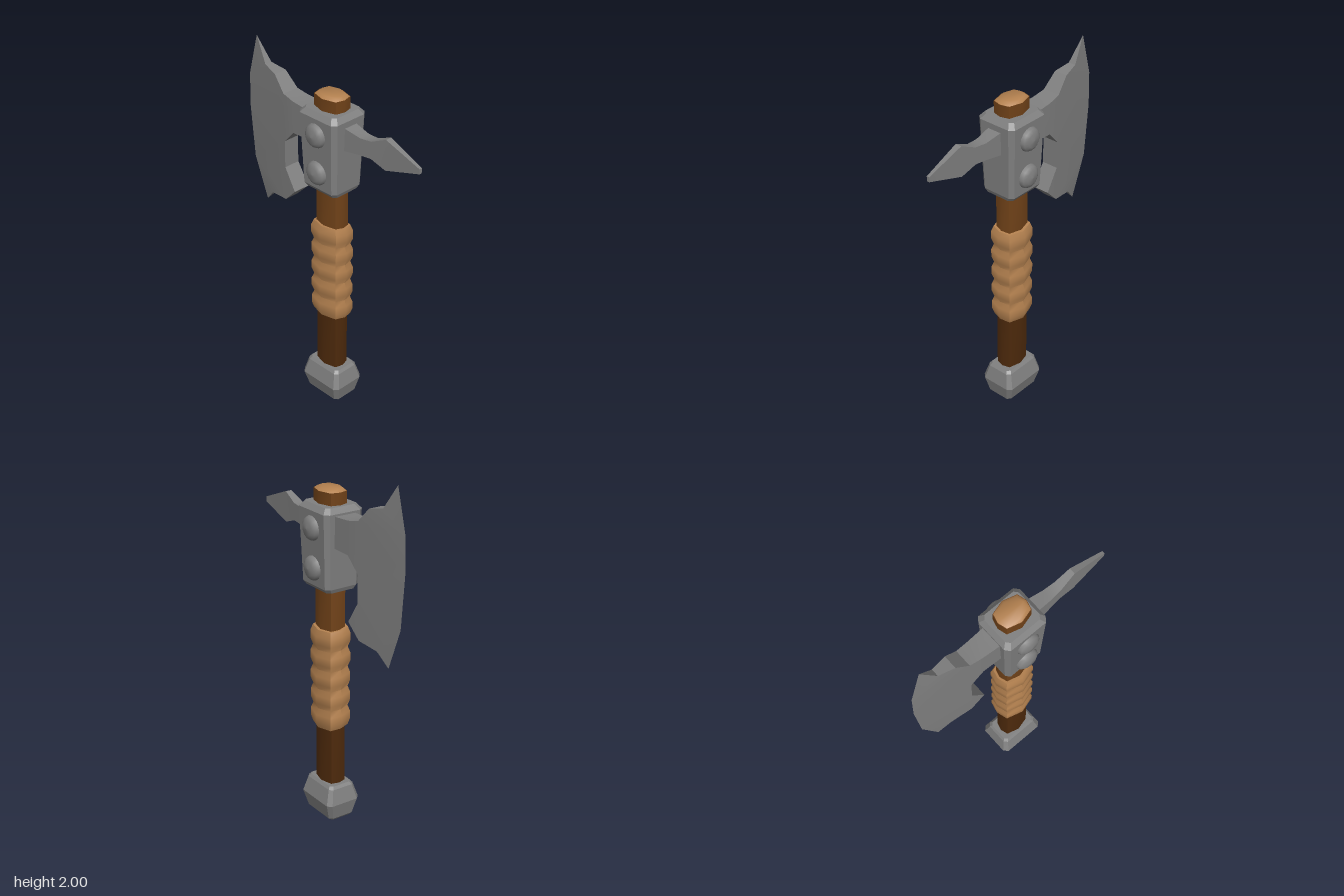
import * as THREE from 'three';
import { toCreasedNormals } from 'three/addons/utils/BufferGeometryUtils.js';

const CX = 0.01; // axis of the handle

const mat = (name, color) => {
  const m = new THREE.MeshStandardMaterial({ color });
  m.name = name;
  return m;
};

// Unit cross-sections, running from +x towards +z
const ovalRing = [[1, 0], [0.85, 0.7], [0, 1], [-0.85, 0.7], [-1, 0], [-0.85, -0.7], [0, -1], [0.85, -0.7]];
const blockRing = [[1, 0.78], [0.84, 1], [-0.84, 1], [-1, 0.78], [-1, -0.78], [-0.84, -1], [0.84, -1], [1, -0.78]];

// Closed solid through rings [y, half width, half depth], listed from bottom to top
function loft(ring, sections, crease, slope = 0) {
  const n = ring.length, pos = [], index = [];
  for (const [y, hx, hz] of sections) {
    for (const [x, z] of ring) pos.push(CX + x * hx, y + slope * z * hz, z * hz);
  }
  for (let s = 0; s < sections.length - 1; s++) {
    for (let i = 0; i < n; i++) {
      const a = s * n + i, b = s * n + (i + 1) % n;
      index.push(a, a + n, b, b, a + n, b + n);
    }
  }
  const top = (sections.length - 1) * n;
  for (let i = 1; i < n - 1; i++) {
    index.push(0, i, i + 1, top, top + i + 1, top + i);
  }
  const g = new THREE.BufferGeometry();
  g.setAttribute('position', new THREE.Float32BufferAttribute(pos, 3));
  g.setIndex(index);
  return toCreasedNormals(g, crease);
}

// Mirrored plate from a counter-clockwise outline of [x, y, half thickness]
function plate(outline, triangles) {
  const n = outline.length, pos = [], index = [];
  for (const side of [1, -1]) {
    for (const [x, y, t] of outline) pos.push(x, y, side * t);
  }
  for (const [a, b, c] of triangles) index.push(a, b, c, n + a, n + c, n + b);
  for (let i = 0; i < n; i++) {
    const j = (i + 1) % n;
    if (outline[i][2] + outline[j][2] === 0) continue; // sharp edge needs no rim
    index.push(i, n + i, j, j, n + i, n + j);
  }
  const g = new THREE.BufferGeometry();
  g.setAttribute('position', new THREE.Float32BufferAttribute(pos, 3));
  g.setIndex(index);
  return toCreasedNormals(g, 0.5);
}

export function createModel() {
  const group = new THREE.Group();
  const steel = mat('steel', 0x808080);
  const wood = mat('wood', 0x724319);
  const darkWood = mat('dark wood', 0x4e2a0c);
  const leather = mat('tan leather', 0xb58250);
  const add = (name, geometry, material) => {
    const mesh = new THREE.Mesh(geometry, material);
    mesh.name = name;
    group.add(mesh);
    return mesh;
  };

  // Handle
  add('lowerHandle', loft(ovalRing, [[0.18, 0.084, 0.063], [0.6, 0.084, 0.063]], 0.8), darkWood);
  add('upperHandle', loft(ovalRing, [[1.06, 0.084, 0.064], [1.4, 0.084, 0.064]], 0.8), wood);
  add('handleTop', loft(ovalRing, [[1.74, 0.09, 0.072], [1.855, 0.09, 0.072]], 0.8), wood);
  add('handleEnd', loft(ovalRing, [[1.853, 0.09, 0.072], [1.868, 0.07, 0.055]], 0.8), leather);

  // Grip wrapped in five bulging bands
  const bands = 5, y0 = 0.545, step = 0.114;
  const wrap = [[y0, 0.098, 0.08]];
  for (let i = 0; i < bands; i++) {
    const y = y0 + i * step;
    wrap.push([y + step * 0.3, 0.109, 0.092], [y + step * 0.7, 0.109, 0.092]);
    wrap.push([y + step, 0.096, 0.079]);
  }
  add('gripWrap', loft(ovalRing, wrap, 0.8, 0.12), leather);

  // Pommel
  add('pommel', loft(blockRing, [
    [0, 0.105, 0.068], [0.014, 0.117, 0.08], [0.105, 0.138, 0.105],
    [0.192, 0.117, 0.08], [0.207, 0.105, 0.068],
  ], 0.3), steel);

  // Head block around the handle
  add('headBlock', loft(blockRing, [
    [1.338, 0.108, 0.088], [1.36, 0.117, 0.103],
    [1.762, 0.131, 0.118], [1.79, 0.108, 0.095],
  ], 0.3), steel);

  // Blade: sharp along the outer edge, thick at the neck
  add('blade', plate([
    [-0.542, 2, 0], [-0.606, 1.765, 0], [-0.611, 1.575, 0], [-0.585, 1.28, 0], [-0.495, 1.045, 0],
    [-0.426, 1.12, 0.022], [-0.3, 1.14, 0.042], [-0.22, 1.22, 0.05], [-0.294, 1.34, 0.047],
    [-0.294, 1.495, 0.047], [-0.22, 1.575, 0.055], [-0.1, 1.585, 0.063],
    [-0.1, 1.75, 0.063], [-0.22, 1.755, 0.055], [-0.294, 1.77, 0.049],
    [-0.368, 1.85, 0.038], [-0.458, 1.87, 0.021],
  ], [
    [0, 1, 16], [1, 15, 16], [1, 14, 15], [1, 2, 14], [2, 9, 14], [2, 3, 9], [3, 8, 9], [3, 6, 8],
    [6, 7, 8], [3, 5, 6], [3, 4, 5], [9, 10, 14], [10, 13, 14], [10, 11, 12], [10, 12, 13],
  ]), steel);

  // Rear spike: lower and upper outlines joined in columns
  const lower = [[0.11, 1.6, 0.043], [0.235, 1.616, 0.032], [0.304, 1.62, 0.026], [0.394, 1.588, 0.018], [0.605, 1.65, 0.008]];
  const upper = [[0.11, 1.735, 0.043], [0.235, 1.71, 0.032], [0.304, 1.715, 0.026], [0.394, 1.757, 0.018], [0.605, 1.677, 0.008]];
  const spikeTriangles = [];
  for (let i = 0; i < 4; i++) spikeTriangles.push([i, i + 1, 8 - i], [i, 8 - i, 9 - i]);
  add('spike', plate([...lower, ...upper.reverse()], spikeTriangles), steel);

  // Domed rivets on both faces of the head
  const dome = new THREE.LatheGeometry(
    [[0.066, -0.02], [0.066, 0.006], [0.058, 0.02], [0.038, 0.032], [0, 0.037]].map(p => new THREE.Vector2(...p)), 16);
  for (const side of [1, -1]) {
    for (const [y, z] of [[1.67, 0.113], [1.455, 0.107]]) {
      const rivet = add('rivet', dome, steel);
      rivet.position.set(CX, y, side * z);
      rivet.rotation.x = side * Math.PI / 2;
    }
  }
  return group;
}
